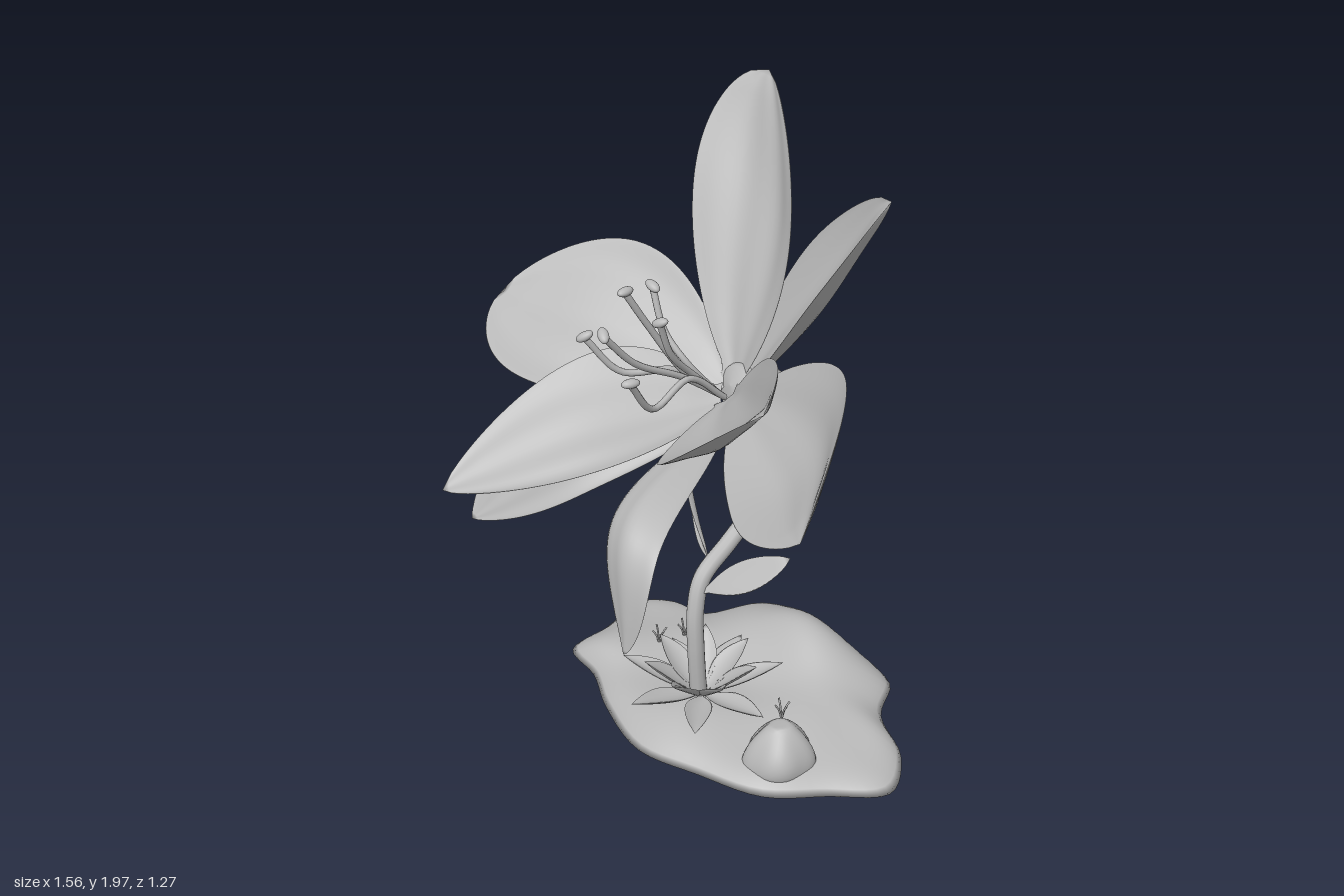
import * as THREE from 'three';
import { mergeVertices } from 'three/addons/utils/BufferGeometryUtils.js';
import { ParametricGeometry } from 'three/addons/geometries/ParametricGeometry.js';

const V = (a) => new THREE.Vector3(...a);
const paleGrey = new THREE.MeshStandardMaterial({ color: 0xb8b8b8 });

function add(parent, name, geometry, pos) {
  const mesh = new THREE.Mesh(geometry, paleGrey);
  mesh.name = name;
  if (pos) mesh.position.set(...pos);
  parent.add(mesh);
  return mesh;
}

// Smooth closed surface from a rule, with seams welded
function surface(fn, nu, nv) {
  const g = new ParametricGeometry(fn, nu, nv);
  g.deleteAttribute('uv');
  g.deleteAttribute('normal');
  const welded = mergeVertices(g, 1e-5);
  welded.computeVertexNormals();
  return welded;
}

// Thin closed blade through base, middle and tip; left and right are its edges at the middle
function blade(base, mid, tip, left, right, { round = 0.7, full = 0.95, foot = 0.12, ripple = 0, thick = 0.004, n = 28 } = {}) {
  const M = V(mid), L = V(left), R = V(right);
  const spine = new THREE.CatmullRomCurve3([V(base), M, V(tip)]);
  const across = R.clone().sub(L).multiplyScalar(0.5);
  const cup = R.clone().add(L).multiplyScalar(0.5).sub(M);
  const normal = across.clone().cross(V(tip).sub(V(base))).normalize();
  return surface((u, v, out) => {
    const s = Math.cos(v * 2 * Math.PI), face = Math.sin(v * 2 * Math.PI);
    const bell = Math.pow(Math.max(0, Math.sin(Math.PI * u)), u < 0.5 ? full : round);
    const f = Math.max(bell, foot * (1 - u));
    out.copy(spine.getPoint(u)).addScaledVector(across, s * f).addScaledVector(cup, s * s * f);
    // Fine lengthwise folds and a central groove, then the thickness
    const fold = ripple * f * (Math.cos(s * 9) * 0.6 + Math.sin(u * 8 + s * 3) * 0.5);
    out.addScaledVector(normal, fold + thick * face * Math.min(1, f * 2));
  }, n, Math.round(n * 1.2));
}

function tube(points, radius, segments = 24) {
  return new THREE.TubeGeometry(new THREE.CatmullRomCurve3(points.map(V)), segments, radius, 10);
}

// Ground outline and height rule
const outline = new THREE.CatmullRomCurve3([
  [0.66, -0.30], [0.56, -0.14], [0.45, 0.02], [0.25, 0.12], [0.05, 0.2], [-0.2, 0.16],
  [-0.36, 0.1], [-0.52, 0.08], [-0.56, -0.08], [-0.62, -0.26], [-0.56, -0.34], [-0.42, -0.38],
  [-0.3, -0.56], [-0.18, -0.62], [0.05, -0.63], [0.28, -0.62], [0.38, -0.5], [0.56, -0.43],
].map(([x, z]) => new THREE.Vector3(x, 0, z)), true);

function ground() {
  const centre = new THREE.Vector3(0, 0, -0.22);
  return surface((u, v, out) => {
    const top = v < 0.75;
    const r = top ? v / 0.75 : (1 - v) / 0.25;
    out.lerpVectors(centre, outline.getPoint(u % 1), r);
    const { x, z } = out;
    const floor = 0.012 + 0.045 * THREE.MathUtils.smoothstep(-z, 0.3, 0.62);
    const ridge = 0.095 * Math.exp(-((x / 0.26) ** 2) - (((z + 0.45) / 0.16) ** 2));
    const lumps = 0.014 * Math.sin(13 * x + 1) * Math.cos(12 * z);
    const rise = 0.015 + (1 - r ** 6) * (0.078 + lumps) + ridge * (1 - r ** 10);
    out.y = floor + (top ? rise : 0.03 * (1 - r * r) + 0.012 * r ** 8);
  }, 90, 40);
}

export function createModel() {
  const model = new THREE.Group();
  model.name = 'flower';

  // Ground with a blunt rock
  add(model, 'ground', ground());
  const rockGeo = mergeVertices(new THREE.IcosahedronGeometry(1, 6).deleteAttribute('uv').deleteAttribute('normal'));
  const p = rockGeo.attributes.position;
  for (let i = 0; i < p.count; i++) {
    const x = p.getX(i), y = p.getY(i), z = p.getZ(i);
    const k = 1.1 - 0.4 * y + 0.07 * Math.sin(5 * x + 4 * z);
    p.setXYZ(i, x * k * 0.095, THREE.MathUtils.clamp(y, -0.5, 0.88) * 0.115 + 0.012 * x, z * k * 0.095);
  }
  rockGeo.computeVertexNormals();
  add(model, 'rock', rockGeo, [0.37, 0.095, -0.1]);

  // Stem
  add(model, 'stem', tube([
    [0.01, 0.07, -0.06], [0.01, 0.3, -0.045], [0, 0.42, -0.05], [-0.015, 0.52, -0.085], [-0.03, 0.605, -0.2],
    [-0.04, 0.72, -0.34], [-0.03, 0.86, -0.43], [-0.01, 0.98, -0.45], [0, 1.06, -0.425], [0, 1.11, -0.37], [0, 1.13, -0.3],
  ], 0.028, 80));

  // Stem leaves
  add(model, 'leftStemLeaf', blade([0.01, 0.49, -0.07], [0.115, 0.575, -0.165], [0.21, 0.65, -0.25],
    [0.075, 0.6, -0.165], [0.155, 0.54, -0.145], { n: 16 }));
  add(model, 'rightStemLeaf', blade([-0.03, 0.57, -0.12], [-0.14, 0.635, -0.16], [-0.26, 0.71, -0.21],
    [-0.17, 0.68, -0.15], [-0.125, 0.6, -0.14], { n: 16 }));

  // Rosette of pointed leaves around the foot of the stem
  const rosette = new THREE.Group();
  rosette.name = 'rosette';
  rosette.position.set(0.02, 0.115, -0.06);
  model.add(rosette);
  for (let i = 0; i < 14; i++) {
    const inner = i % 2;
    const len = inner ? 0.18 : 0.26, up = inner ? 0.14 : 0.04 + 0.025 * (i % 3);
    const leaf = add(rosette, 'rosetteLeaf', blade([0.015, 0, 0], [len * 0.5, up * 0.45, 0], [len, up, 0],
      [len * 0.48, up * 0.45 + 0.018, 0.043], [len * 0.48, up * 0.45 + 0.018, -0.043], { round: 0.95, n: 14 }));
    leaf.rotation.y = i * Math.PI / 7 + 0.2;
  }

  // Grass tufts
  for (const [x, y, z] of [[-0.3, 0.09, -0.12], [-0.27, 0.1, -0.2], [0.34, 0.18, -0.13]]) {
    for (let i = 0; i < 4; i++) {
      const a = i * 1.7, dx = Math.cos(a) * 0.025, dz = Math.sin(a) * 0.025;
      add(model, 'grass', tube([[x, y, z], [x + dx * 0.4, y + 0.04, z + dz * 0.4], [x + dx, y + 0.065, z + dz]], 0.003, 5));
    }
  }

  // Bulb behind the petals
  const bulb = add(model, 'bulb', new THREE.LatheGeometry([
    [0, -0.115], [0.035, -0.107], [0.06, -0.08], [0.074, -0.035], [0.074, 0.01], [0.068, 0.04], [0.08, 0.065],
    [0.06, 0.09], [0, 0.1],
  ].map(([x, y]) => new THREE.Vector2(x, y)), 32), [0, 1.135, -0.265]);
  bulb.rotation.x = 1.2;

  // Petals: base, middle, tip, left edge, right edge, bluntness of the tip
  const petals = {
    upperLeftPetal: [[-0.01, 1.17, -0.2], [-0.13, 1.64, -0.38], [-0.27, 1.99, -0.5], [-0.34, 1.67, -0.28], [0.075, 1.62, -0.32], 0.52],
    upperRightPetal: [[0.03, 1.16, -0.2], [0.28, 1.55, -0.29], [0.45, 1.86, -0.36], [0.12, 1.59, -0.32], [0.405, 1.55, -0.07], 0.52],
    innerRightPetal: [[0.03, 1.15, -0.15], [0.35, 1.26, 0.07], [0.64, 1.48, 0.2], [0.37, 1.46, -0.03], [0.25, 1.17, 0.26], 0.62],
    outerRightPetal: [[0.03, 1.13, -0.21], [0.48, 1.16, -0.06], [0.78, 1.16, 0.18], [0.49, 1.41, -0.19], [0.42, 1.06, 0.14], 0.7],
    sidePetal: [[-0.03, 1.15, -0.17], [-0.43, 1.24, 0.0], [-0.78, 1.26, 0.13], [-0.46, 1.45, -0.19], [-0.45, 1.13, 0.26], 0.64],
    frontPetal: [[0, 1.13, -0.14], [-0.13, 1.08, 0.26], [-0.31, 0.94, 0.63], [-0.28, 1.25, 0.12], [0.02, 1.05, 0.28], 0.68],
    lowerLeftPetal: [[-0.02, 1.1, -0.16], [-0.25, 0.98, 0.24], [-0.44, 0.72, 0.47], [-0.41, 0.99, 0.28], [-0.14, 0.88, 0.25], 0.85],
    lowerRightPetal: [[0.02, 1.1, -0.14], [0.2, 0.98, 0.35], [0.34, 0.66, 0.44], [0.06, 0.89, 0.28], [0.37, 0.96, 0.34], 0.8],
  };
  for (const [name, [base, mid, tip, left, right, round]] of Object.entries(petals)) {
    add(model, name, blade(base, mid, tip, left, right, { round, full: 0.72, foot: 0.22, ripple: 0.006, thick: 0.007, n: 44 }));
  }

  // Stamens with flattened heads
  const tips = [[-0.16, 1.47, -0.01], [-0.12, 1.4, 0.25], [-0.015, 1.56, 0.18], [0.04, 1.48, 0.29], [0.065, 1.48, 0.12], [0.11, 1.35, 0.25]];
  tips.forEach(([x, y, z], i) => {
    add(model, 'stamen', tube([[x * 0.15, 1.15, -0.14], [x * 0.3, 1.26, -0.05 + z * 0.2], [x * 0.7, y - 0.12, z * 0.65 - 0.01], [x, y, z]], 0.01));
    const head = add(model, 'stamenHead', new THREE.SphereGeometry(1, 16, 10), [x, y + 0.005, z]);
    head.scale.set(0.028, 0.013, 0.016);
    head.rotation.set(0.3, i * 0.9, 0.3 * (i % 2 ? 1 : -1));
  });

  return model;
}
